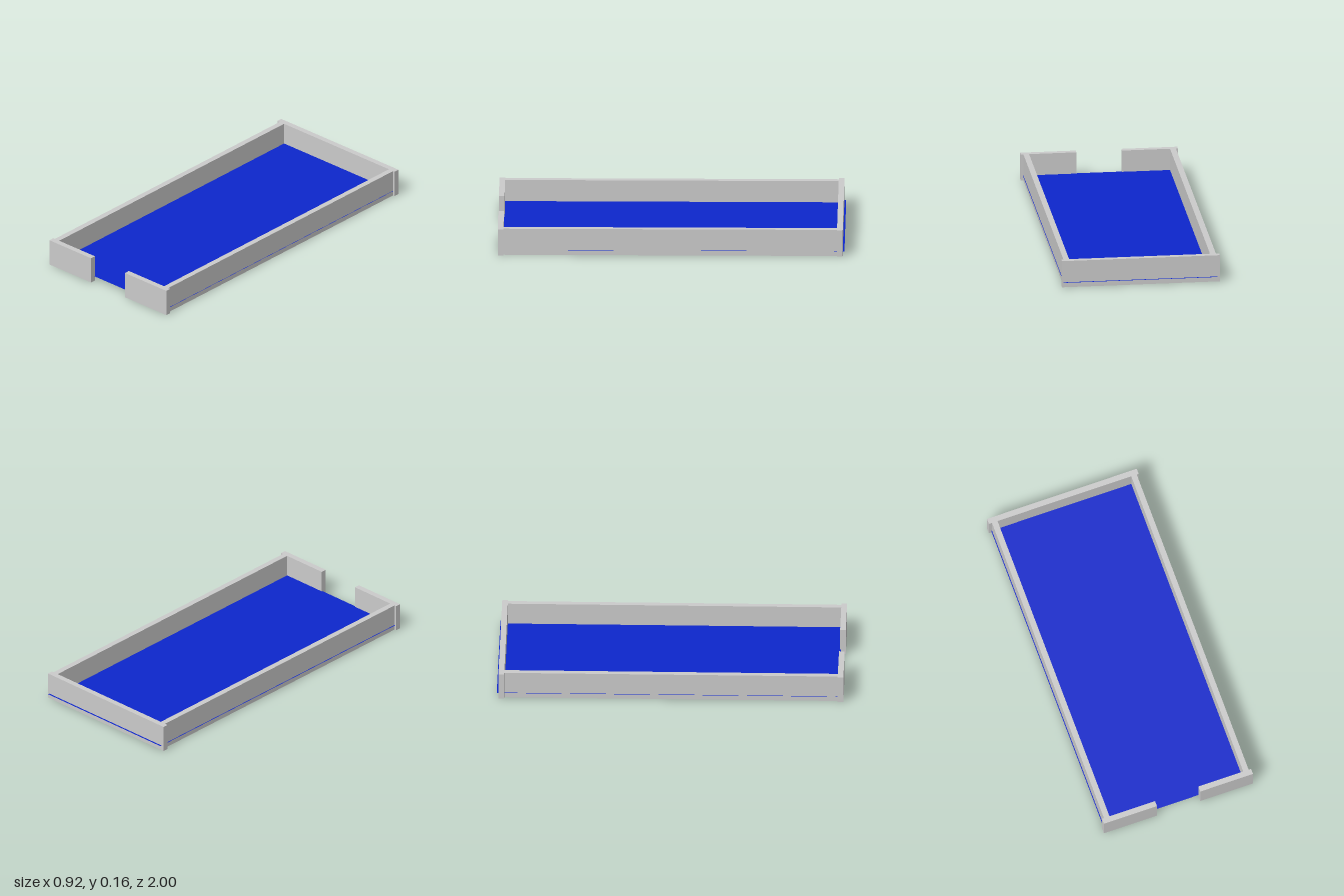
import * as THREE from 'three';

const HEIGHT = 0.159;

export function createModel() {
  const model = new THREE.Group();
  model.name = 'walledTray';
  const grey = new THREE.MeshStandardMaterial({ color: 0xcccccc });
  const blue = new THREE.MeshStandardMaterial({ color: 0x0d26cc, side: THREE.DoubleSide });

  // Upright board standing on the ground between the given x and z limits
  function wall(name, x0, x1, z0, z1) {
    const mesh = new THREE.Mesh(new THREE.BoxGeometry(x1 - x0, HEIGHT, z1 - z0), grey);
    mesh.position.set((x0 + x1) / 2, HEIGHT / 2, (z0 + z1) / 2);
    mesh.name = name;
    model.add(mesh);
  }

  // Long sides
  wall('leftWall', 0.411, 0.444, -0.957, 0.967);
  wall('rightWall', -0.442, -0.408, -0.957, 0.967);

  // Closed back end
  wall('backWall', -0.461, 0.456, -0.99, -0.957);

  // Front end with a central opening
  wall('frontLeftWall', 0.136, 0.459, 0.967, 1);
  wall('frontRightWall', -0.454, -0.129, 0.967, 1);

  // Thin floor sheet, slotted through the walls just above the ground
  const floor = new THREE.Mesh(new THREE.PlaneGeometry(0.894, 1.972), blue);
  floor.rotation.x = -Math.PI / 2;
  floor.position.set(0, 0.03, -0.014);
  floor.name = 'floorSheet';
  model.add(floor);

  return model;
}
